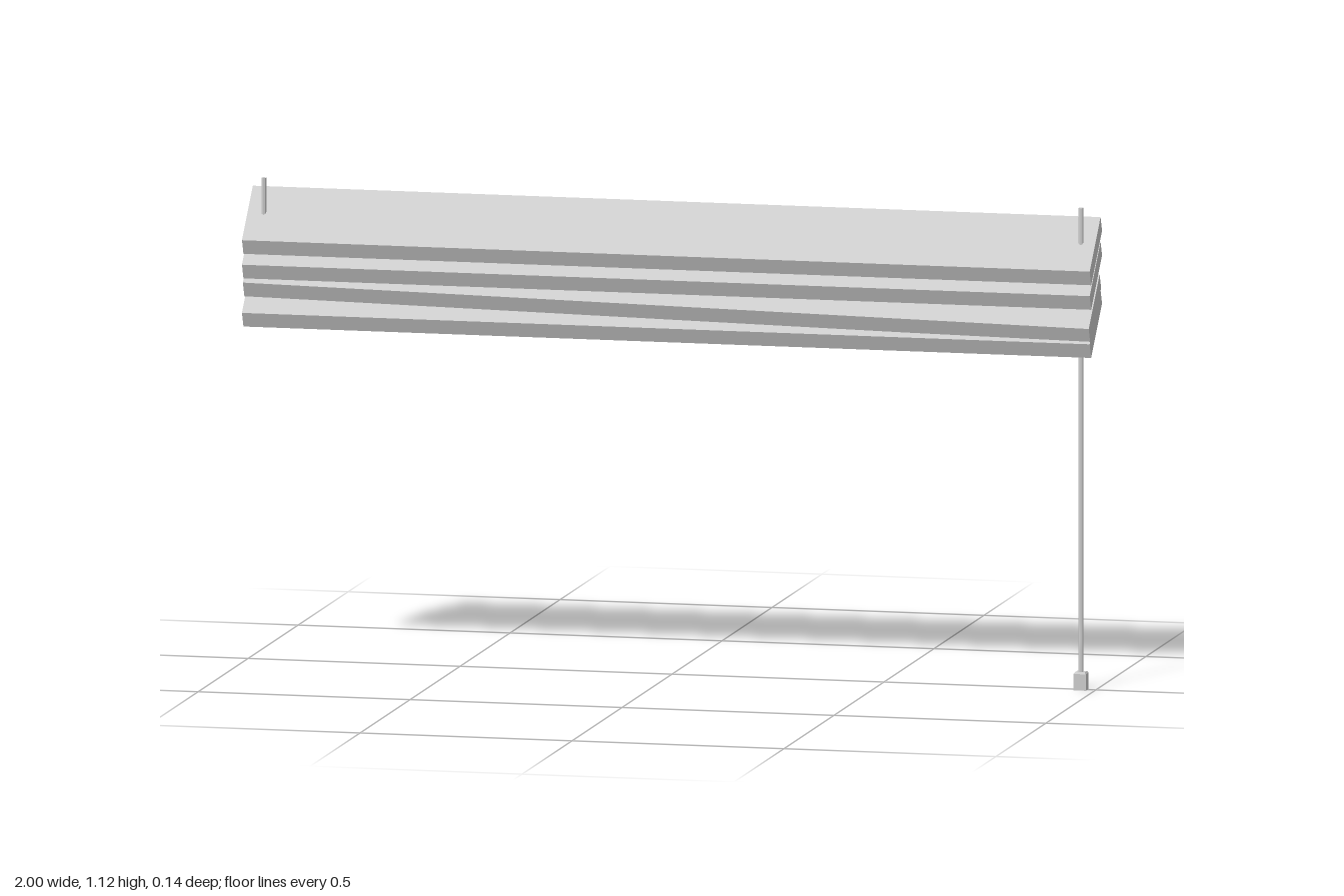
import * as THREE from 'three';

const material = new THREE.MeshStandardMaterial({ color: 0xcccccc, flatShading: true });

function add(group, name, geometry, x = 0, y = 0, z = 0) {
  const mesh = new THREE.Mesh(geometry, material);
  mesh.name = name;
  mesh.position.set(x, y, z);
  group.add(mesh);
}

// Sheared, tilted plank; skew shifts its two ends in opposite directions
function slatGeometry(skewY = 0, skewZ = 0) {
  const geometry = new THREE.BoxGeometry(2, 2, 2);
  const p = geometry.attributes.position;
  for (let i = 0; i < p.count; i++) {
    const x = p.getX(i), v = p.getY(i), u = p.getZ(i);
    p.setXYZ(i, x,
      -0.055 * u + 0.017 * v + skewY * x,
      0.0545 * u + 0.0075 * v + skewZ * x);
  }
  geometry.computeVertexNormals();
  return geometry;
}

export function createModel() {
  const model = new THREE.Group();
  model.name = 'windowBlind';

  // Four slats, the third one hanging crooked
  add(model, 'slat1', slatGeometry(), 0, 1.02, 0);
  add(model, 'slat2', slatGeometry(), 0, 0.963, 0);
  add(model, 'crookedSlat', slatGeometry(-0.016, 0.009), 0, 0.904, 0);
  add(model, 'slat4', slatGeometry(), 0, 0.851, 0);

  // Support cords threaded through the slats
  const cordZ = 0.004;
  for (const [name, x] of [['rightCord', -0.962], ['leftCord', 0.966]]) {
    add(model, name, new THREE.CylinderGeometry(0.006, 0.006, 0.29, 8), x, 0.975, cordZ);
  }

  // Long pull cord
  add(model, 'pullCord', new THREE.CylinderGeometry(0.0055, 0.0055, 0.81, 8), 0.966, 0.435, cordZ);

  // Weight at the cord's end, with a slightly tapered top
  const body = new THREE.BoxGeometry(0.029, 0.038, 0.029);
  add(model, 'cordWeight', body, 0.966, 0.019, cordZ);
  const cap = new THREE.CylinderGeometry(0.0165, 0.0205, 0.004, 4);
  cap.rotateY(Math.PI / 4);
  add(model, 'cordWeightCap', cap, 0.966, 0.04, cordZ);

  return model;
}
